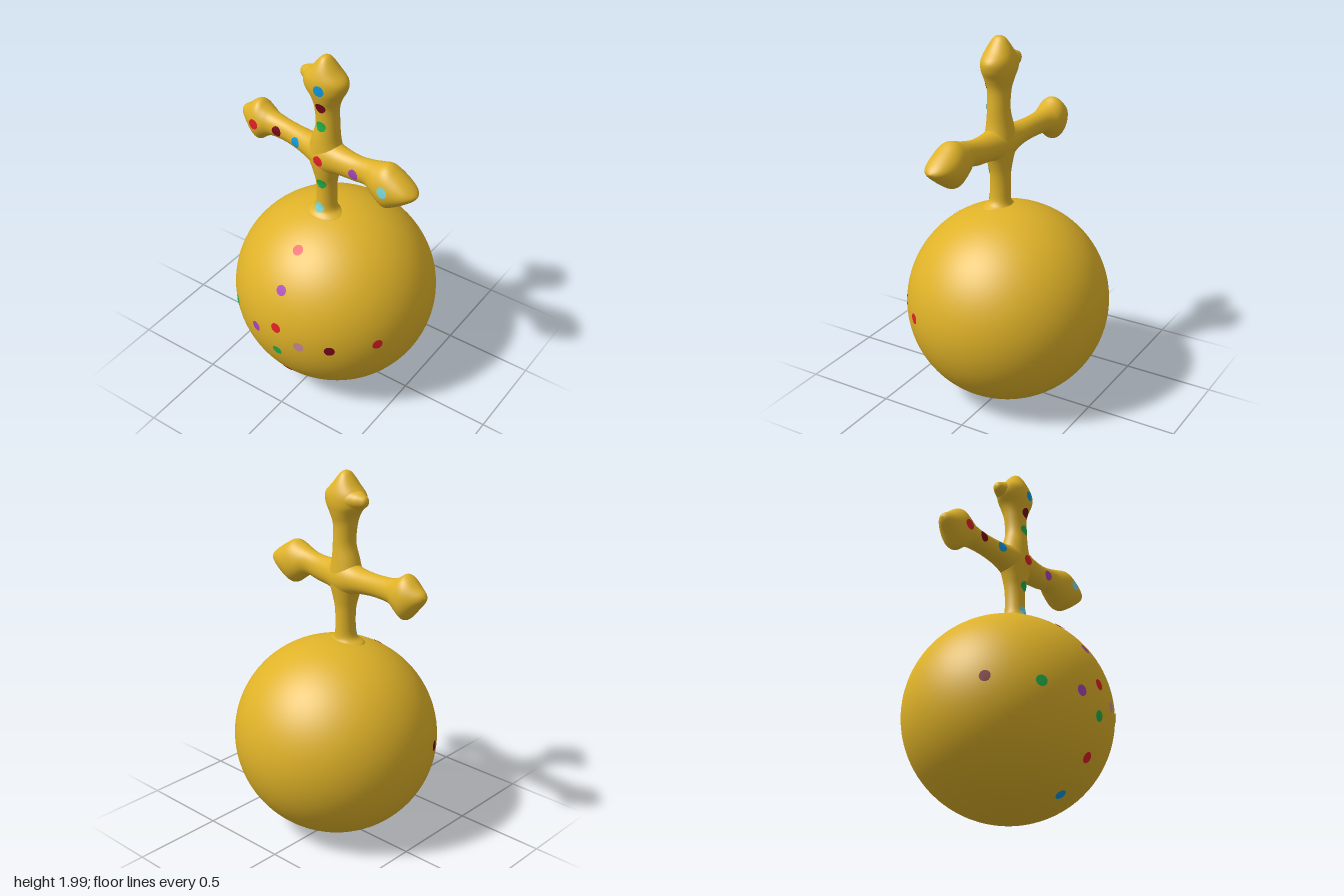
import * as THREE from 'three';
import { mergeVertices } from 'three/addons/utils/BufferGeometryUtils.js';

const mat = (name, color, side = THREE.FrontSide) => {
  const m = new THREE.MeshStandardMaterial({ color, side });
  m.name = name;
  return m;
};

// Smooth tube through elliptical stations: [position, centre, centreZ, radius, radiusZ]
function loft(stations, horizontal, steps = 72, sides = 40) {
  const centres = new THREE.CatmullRomCurve3(
    stations.map(s => new THREE.Vector3(s[0], s[1], s[2])), false, 'catmullrom');
  const radii = new THREE.CatmullRomCurve3(
    stations.map(s => new THREE.Vector3(s[3], s[4], 0)), false, 'catmullrom');
  const pos = [], index = [];
  for (let i = 0; i <= steps; i++) {
    const c = centres.getPoint(i / steps), r = radii.getPoint(i / steps);
    for (let j = 0; j < sides; j++) {
      const a = (j / sides) * Math.PI * 2;
      const w = c.y + Math.max(r.x, 0) * Math.cos(a);
      const z = c.z + Math.max(r.y, 0) * Math.sin(a);
      if (horizontal) pos.push(c.x, w, z);
      else pos.push(w, c.x, z);
      if (i === steps) continue;
      const p = i * sides + j, q = i * sides + (j + 1) % sides;
      if (horizontal) index.push(p, q, p + sides, q, q + sides, p + sides);
      else index.push(p, p + sides, q, q, p + sides, q + sides);
    }
  }
  let g = new THREE.BufferGeometry();
  g.setAttribute('position', new THREE.Float32BufferAttribute(pos, 3));
  g.setIndex(index);
  g = mergeVertices(g, 1e-5);
  g.computeVertexNormals();
  return g;
}

const ellipsoid = (x, y, z, rx, ry, rz, w = 48, h = 32) =>
  new THREE.SphereGeometry(1, w, h).scale(rx, ry, rz).translate(x, y, z);

export function createModel() {
  const model = new THREE.Group();
  model.name = 'orbWithCross';
  const gold = mat('gold', 0xdfb228);
  const gems = {
    red: mat('red', 0xe41f27, THREE.DoubleSide),
    maroon: mat('maroon', 0x780818, THREE.DoubleSide),
    green: mat('green', 0x22b14c, THREE.DoubleSide),
    blue: mat('blue', 0x0c9be0, THREE.DoubleSide),
    purple: mat('purple', 0xa845b8, THREE.DoubleSide),
    cyan: mat('cyan', 0x78d8de, THREE.DoubleSide),
    mauve: mat('mauve', 0xc88a98, THREE.DoubleSide),
  };

  const surfaces = [];
  const add = (name, geometry) => {
    const m = new THREE.Mesh(geometry, gold);
    m.name = name;
    surfaces.push(m);
    model.add(m);
  };

  add('orb', ellipsoid(0.017, 0.551, 0, 0.557, 0.545, 0.547, 80, 56));

  // Upright with flared foot and pointed top knob
  add('upright', loft([
    [1.05, 0, 0.065, 0.12, 0.09],
    [1.08, 0, 0.065, 0.105, 0.082],
    [1.11, 0, 0.06, 0.062, 0.06],
    [1.18, 0, 0.058, 0.053, 0.055],
    [1.27, 0, 0.058, 0.057, 0.056],
    [1.34, 0, 0.06, 0.073, 0.068],
    [1.43, 0, 0.06, 0.1, 0.08],
    [1.53, 0, 0.06, 0.078, 0.07],
    [1.62, 0.01, 0.06, 0.062, 0.06],
    [1.72, 0.005, 0.06, 0.066, 0.062],
    [1.78, 0.005, 0.06, 0.085, 0.077],
    [1.83, 0, 0.06, 0.117, 0.087],
    [1.88, 0, 0.06, 0.12, 0.085],
    [1.93, 0, 0.06, 0.073, 0.068],
    [1.975, 0, 0.06, 0.036, 0.042],
    [1.993, 0, 0.06, 0.018, 0.022],
    [2.0, 0, 0.06, 0, 0],
  ], false));

  // Crossbar with a pointed knob at each end, slanting forward toward the left
  add('crossbar', loft([
    [-0.58, 1.47, 0, 0, 0],
    [-0.565, 1.467, 0, 0.028, 0.028],
    [-0.53, 1.46, 0, 0.06, 0.055],
    [-0.485, 1.452, 0.002, 0.105, 0.077],
    [-0.45, 1.45, 0.005, 0.118, 0.082],
    [-0.41, 1.452, 0.008, 0.09, 0.077],
    [-0.36, 1.455, 0.014, 0.066, 0.06],
    [-0.27, 1.452, 0.024, 0.059, 0.052],
    [-0.18, 1.447, 0.036, 0.061, 0.056],
    [-0.1, 1.441, 0.048, 0.071, 0.066],
    [0, 1.435, 0.06, 0.098, 0.084],
    [0.1, 1.436, 0.07, 0.076, 0.068],
    [0.2, 1.437, 0.08, 0.07, 0.056],
    [0.28, 1.448, 0.088, 0.071, 0.06],
    [0.34, 1.437, 0.095, 0.098, 0.08],
    [0.4, 1.428, 0.1, 0.122, 0.09],
    [0.46, 1.428, 0.102, 0.092, 0.086],
    [0.52, 1.43, 0.106, 0.05, 0.066],
    [0.555, 1.43, 0.108, 0.021, 0.036],
    [0.57, 1.43, 0.11, 0, 0],
  ], true, 90));

  // Small spur on the side of the top knob
  add('topSpur', loft([
    [-0.162, 1.862, 0.042, 0, 0],
    [-0.153, 1.862, 0.042, 0.022, 0.02],
    [-0.13, 1.862, 0.044, 0.035, 0.036],
    [-0.1, 1.862, 0.048, 0.045, 0.052],
    [-0.04, 1.86, 0.056, 0.06, 0.07],
    [0, 1.86, 0.06, 0, 0],
  ], true, 30));

  // Painted gem dots, each a small disc draped over the gold surface
  const ray = new THREE.Raycaster();
  const hitAt = (origin, dir) => {
    ray.set(origin, dir);
    return ray.intersectObjects(surfaces, false)[0];
  };
  const dots = {
    red: [[0.005, 1.435], [-0.45, 1.455], [0.01, 0.987], [0.017, 0.613], [0.022, 0.255], [0.487, 0.56]],
    maroon: [[0.01, 1.74], [-0.307, 1.457], [-0.493, 0.562], [0.305, 0.545]],
    green: [[0.008, 1.63], [0.005, 1.282], [-0.327, 0.545], [0.017, 0.45]],
    blue: [[0.015, 1.845], [-0.17, 1.452], [0.023, 0.098]],
    purple: [[0.215, 1.435], [0.01, 0.82], [-0.125, 0.54]],
    cyan: [[0.415, 1.44], [-0.008, 1.127]],
    mauve: [[0.152, 0.54]],
  };
  const front = new THREE.Vector3(0, 0, 1);
  for (const [colour, spots] of Object.entries(dots)) {
    for (const [x, y] of spots) {
      const centre = hitAt(new THREE.Vector3(x, y, 2), new THREE.Vector3(0, 0, -1));
      const n = centre.normal.clone().normalize(), inward = n.clone().negate();
      const g = new THREE.CircleGeometry(0.029, 20);
      g.applyQuaternion(new THREE.Quaternion().setFromUnitVectors(front, n));
      g.translate(centre.point.x, centre.point.y, centre.point.z);
      const p = g.attributes.position, v = new THREE.Vector3();
      for (let i = 0; i < p.count; i++) {
        v.fromBufferAttribute(p, i);
        const hit = hitAt(v.clone().addScaledVector(n, 0.08), inward);
        if (hit) v.copy(hit.point);
        v.addScaledVector(n, 0.003);
        p.setXYZ(i, v.x, v.y, v.z);
      }
      g.computeVertexNormals();
      const dot = new THREE.Mesh(g, gems[colour]);
      dot.name = colour + 'Gem';
      model.add(dot);
    }
  }
  return model;
}
